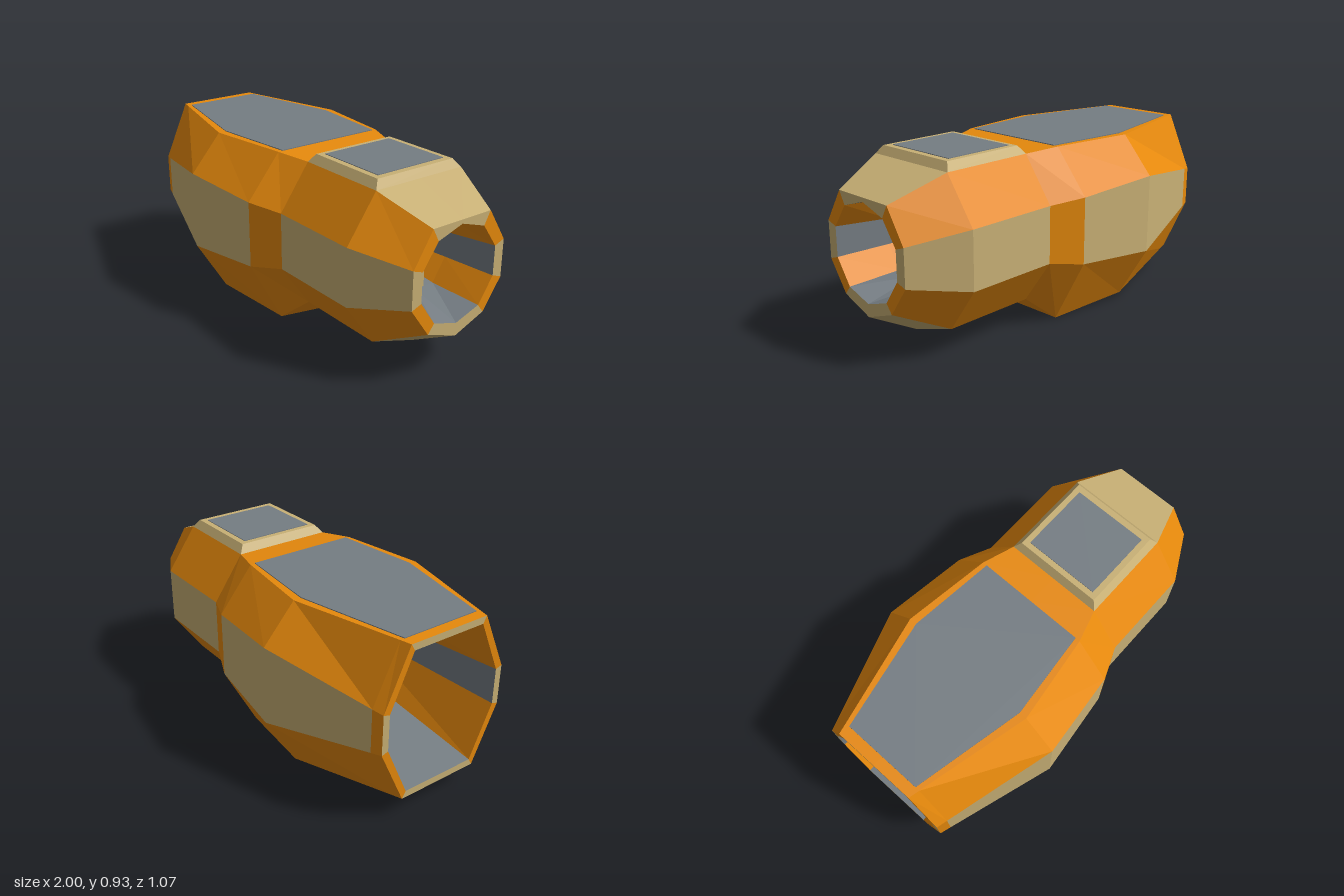
import * as THREE from 'three';

const mat = (color) => new THREE.MeshStandardMaterial({ color, flatShading: true });

export function createModel() {
  const group = new THREE.Group();
  const mats = { orange: mat(0xe6890c), tan: mat(0xc8b075), grey: mat(0x757d83) };
  const add = (name, geo, m, x = 0, y = 0, z = 0) => {
    const mesh = new THREE.Mesh(geo, m);
    mesh.name = name;
    mesh.position.set(x, y, z);
    group.add(mesh);
    return mesh;
  };

  // Ten-point cross-section, from top centre round the +z side and back
  const ring = (x, zTop, yTop, zSide, yHi, yLo, yBot, yBotMid = yBot, yTopMid = yTop) => {
    const half = [[yTop, zTop], [yHi, zSide], [yLo, zSide], [yBot, zTop]];
    return [[yTopMid, 0], ...half, [yBotMid, 0], ...half.map(([y, z]) => [y, -z]).reverse()]
      .map(([y, z]) => new THREE.Vector3(x, y, z));
  };
  const point = (x, y) => ring(x, 0, y, 0, y, y, y);

  // Sector types round the ring
  const kinds = ['top', 'diag', 'side', 'diag', 'bottom', 'bottom', 'diag', 'side', 'diag', 'top'];

  // Skin between successive rings, one mesh for each colour
  const loft = (name, rings, colourOf) => {
    const buckets = { orange: [], tan: [], grey: [] };
    for (let i = 0; i < rings.length - 1; i++) {
      for (let j = 0; j < 10; j++) {
        const k = (j + 1) % 10;
        const [a, b, c, d] = [rings[i][j], rings[i][k], rings[i + 1][k], rings[i + 1][j]];
        buckets[colourOf(i, kinds[j])].push(a, b, c, a, c, d);
      }
    }
    for (const [colour, pts] of Object.entries(buckets)) {
      if (!pts.length) continue;
      const geo = new THREE.BufferGeometry().setFromPoints(pts);
      geo.computeVertexNormals();
      add(name + colour[0].toUpperCase() + colour.slice(1), geo, mats[colour]);
    }
  };

  // Outer hull, from the rear rim to the nose rim
  const rearRim = ring(-1, 0.22, 0.9, 0.355, 0.605, 0.4, 0.105);
  const noseRim = ring(1, 0.175, 0.775, 0.28, 0.61, 0.42, 0.27, 0.205);
  const hull = [
    rearRim,
    ring(-0.945, 0.233, 0.9, 0.371, 0.614, 0.392, 0.098),
    ring(-0.38, 0.37, 0.9, 0.537, 0.71, 0.305, 0.025),
    ring(0.07, 0.31, 0.9, 0.49, 0.68, 0.34, 0),
    ring(0.24, 0.26, 0.885, 0.42, 0.66, 0.37, 0.14, 0.055),
    ring(0.73, 0.26, 0.885, 0.42, 0.66, 0.37, 0.14, 0.055),
    noseRim,
  ];
  loft('hull', hull, (i, kind) => {
    if (kind === 'diag' || i === 0 || i === 3) return 'orange';
    return kind === 'top' && i < 3 ? 'orange' : 'tan';
  });

  // Nose opening: rim, lip and funnel closed by an end wall
  const noseTunnel = [
    noseRim,
    ring(1, 0.14, 0.71, 0.225, 0.59, 0.44, 0.315, 0.27, 0.755),
    ring(0.73, 0.115, 0.7, 0.19, 0.575, 0.445, 0.33),
    ring(0.24, 0.055, 0.6, 0.09, 0.555, 0.475, 0.42),
    point(0.24, 0.51),
  ];
  const tunnelColour = (rim, wall) => (i, kind) => {
    if (i === wall) return 'tan';
    if (kind === 'diag') return 'orange';
    return i === rim ? 'tan' : 'grey';
  };
  loft('noseTunnel', noseTunnel, tunnelColour(0, 3));

  // Rear opening: the same idea, running inwards from the tail
  const rearTunnel = [
    point(-0.1, 0.51),
    ring(-0.1, 0.14, 0.74, 0.23, 0.575, 0.445, 0.29),
    ring(-1, 0.2, 0.865, 0.32, 0.595, 0.41, 0.14),
    rearRim,
  ];
  loft('rearTunnel', rearTunnel, tunnelColour(2, 0));

  // Upright post inside the nose
  add('tunnelPost', new THREE.BoxGeometry(0.1, 0.375, 0.11), mats.tan, 0.68, 0.5125, 0);

  // Grey panel on the rear roof
  const outline = [[-0.945, 0.21], [-0.38, 0.33], [0.07, 0.285]];
  const shape = new THREE.Shape([
    ...outline, ...outline.map(([x, z]) => [x, -z]).reverse(),
  ].map(([x, z]) => new THREE.Vector2(x, z)));
  const roof = new THREE.ExtrudeGeometry(shape, { depth: 0.004, bevelEnabled: false });
  add('roofPanel', roof.rotateX(-Math.PI / 2), mats.grey, 0, 0.9, 0);

  // Bevelled roof hatch and its inset panel
  const hatch = new THREE.BoxGeometry(0.49, 0.04, 0.52);
  const p = hatch.attributes.position;
  for (let i = 0; i < p.count; i++) {
    if (p.getY(i) > 0) p.setXYZ(i, p.getX(i) * 0.89, p.getY(i), p.getZ(i) * 0.885);
  }
  hatch.computeVertexNormals();
  add('roofHatch', hatch, mats.tan, 0.485, 0.905, 0);
  add('hatchPanel', new THREE.BoxGeometry(0.375, 0.006, 0.4), mats.grey, 0.483, 0.925, 0);

  return group;
}
